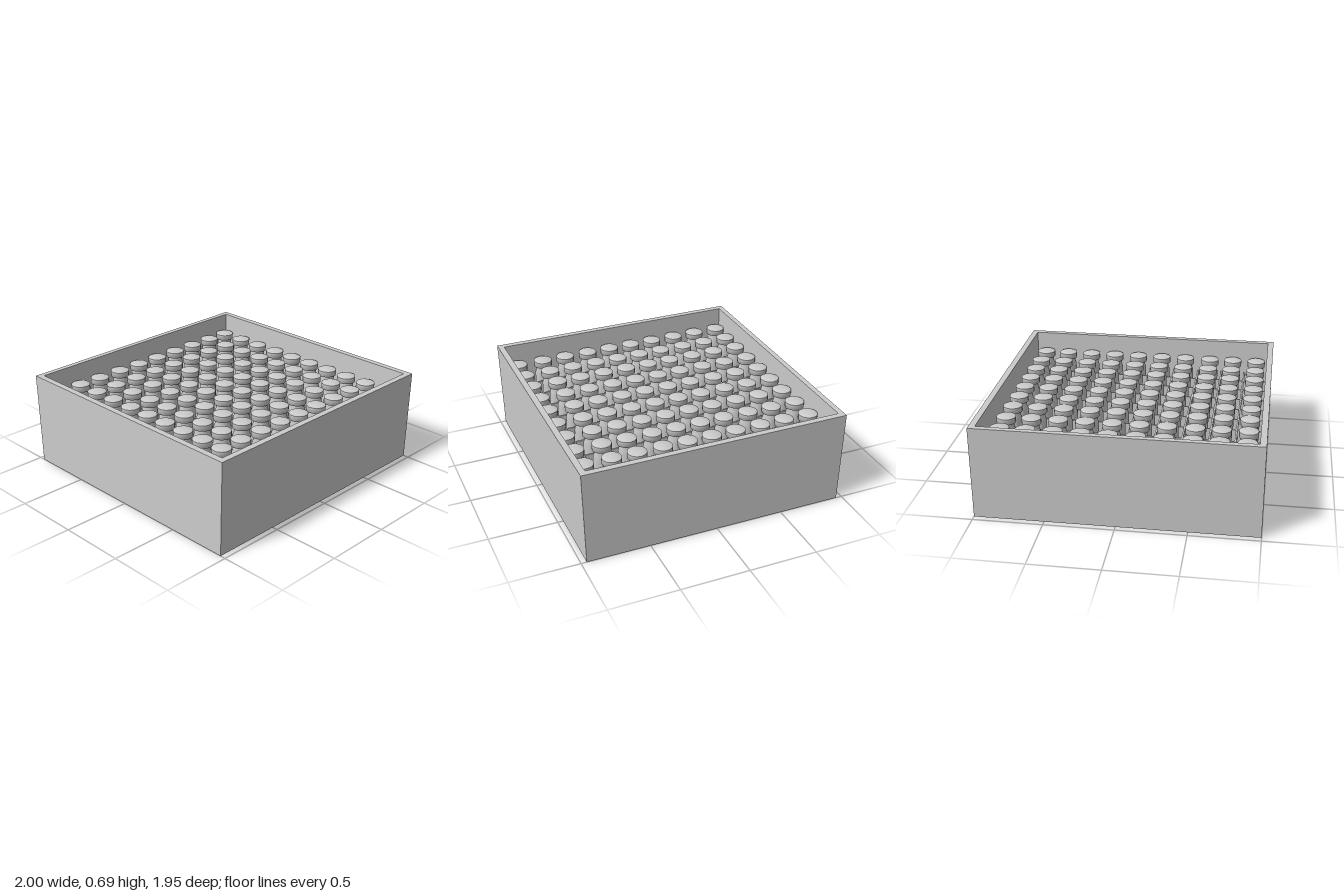
import * as THREE from 'three';

const grey = new THREE.MeshStandardMaterial({ color: 0xcccccc });
const HEIGHT = 0.69, FLOOR = 0.05, DIVIDER_TOP = 0.43, CAP_TOP = 0.575;
const INNER = { x0: -0.955, x1: 0.955, z0: -0.935, z1: 0.93 };

// Rows of vials and the partitions between them
const vialX = [-0.87, -0.68, -0.495, -0.295, -0.1, 0.095, 0.29, 0.485, 0.68, 0.865];
const vialZ = [-0.86, -0.665, -0.475, -0.28, -0.095, 0.09, 0.275, 0.465, 0.65, 0.85];
const midpoints = (a) => a.slice(1).map((v, i) => (v + a[i]) / 2);

function part(parent, name, geometry, x = 0, y = 0, z = 0) {
  const mesh = new THREE.Mesh(geometry, grey);
  mesh.name = name;
  mesh.position.set(x, y, z);
  parent.add(mesh);
  return mesh;
}

// Open box: rectangular rings joined up the outside, over the rim and down inside
function boxGeometry() {
  const ring = (x0, x1, z0, z1, y) => [[x0, y, z1], [x1, y, z1], [x1, y, z0], [x0, y, z0]];
  const { x0, x1, z0, z1 } = INNER;
  const rings = [
    ring(-1, 1, -0.957, 0.96, 0),
    ring(-1, 1, -0.975, 0.975, HEIGHT),
    ring(x0, x1, z0, z1, HEIGHT),
    ring(x0, x1, z0, z1, FLOOR),
  ];
  const pos = [];
  const quad = (a, b, c, d) => pos.push(...a, ...b, ...c, ...a, ...c, ...d);
  for (let r = 0; r < 3; r++) {
    for (let i = 0; i < 4; i++) {
      const j = (i + 1) % 4;
      quad(rings[r][i], rings[r][j], rings[r + 1][j], rings[r + 1][i]);
    }
  }
  quad(...rings[3]);
  quad(...[...rings[0]].reverse());
  const g = new THREE.BufferGeometry();
  g.setAttribute('position', new THREE.Float32BufferAttribute(pos, 3));
  g.computeVertexNormals();
  return g;
}

const lathe = (points) =>
  new THREE.LatheGeometry(points.map(([r, y]) => new THREE.Vector2(r, y)), 24);

export function createModel() {
  const model = new THREE.Group();
  model.name = 'vialBox';
  part(model, 'box', boxGeometry());

  // Crossed partitions
  const dividers = new THREE.Group();
  dividers.name = 'dividers';
  model.add(dividers);
  const h = DIVIDER_TOP - FLOOR, y = FLOOR + h / 2;
  const w = INNER.x1 - INNER.x0, d = INNER.z1 - INNER.z0;
  for (const x of midpoints(vialX))
    part(dividers, 'lengthDivider', new THREE.BoxGeometry(0.012, h, d), x, y, (INNER.z0 + INNER.z1) / 2);
  for (const z of midpoints(vialZ))
    part(dividers, 'crossDivider', new THREE.BoxGeometry(w, h - 0.002, 0.012), 0, y - 0.001, z);

  // One vial per cell: body with shoulder, neck and shallow domed cap
  const body = lathe([[0, FLOOR], [0.064, FLOOR], [0.064, 0.46], [0.056, 0.485], [0.056, 0.525]]);
  const capSide = lathe([[0.05, 0.52], [0.07, 0.52], [0.07, 0.563]]);
  const capTop = lathe([[0.07, 0.563], [0.055, 0.569], [0.03, 0.574], [0, CAP_TOP]]);
  for (const x of vialX) {
    for (const z of vialZ) {
      const vial = new THREE.Group();
      vial.name = 'vial';
      vial.position.set(x, 0, z);
      part(vial, 'vialBody', body);
      part(vial, 'capSide', capSide);
      part(vial, 'capTop', capTop);
      model.add(vial);
    }
  }
  return model;
}
